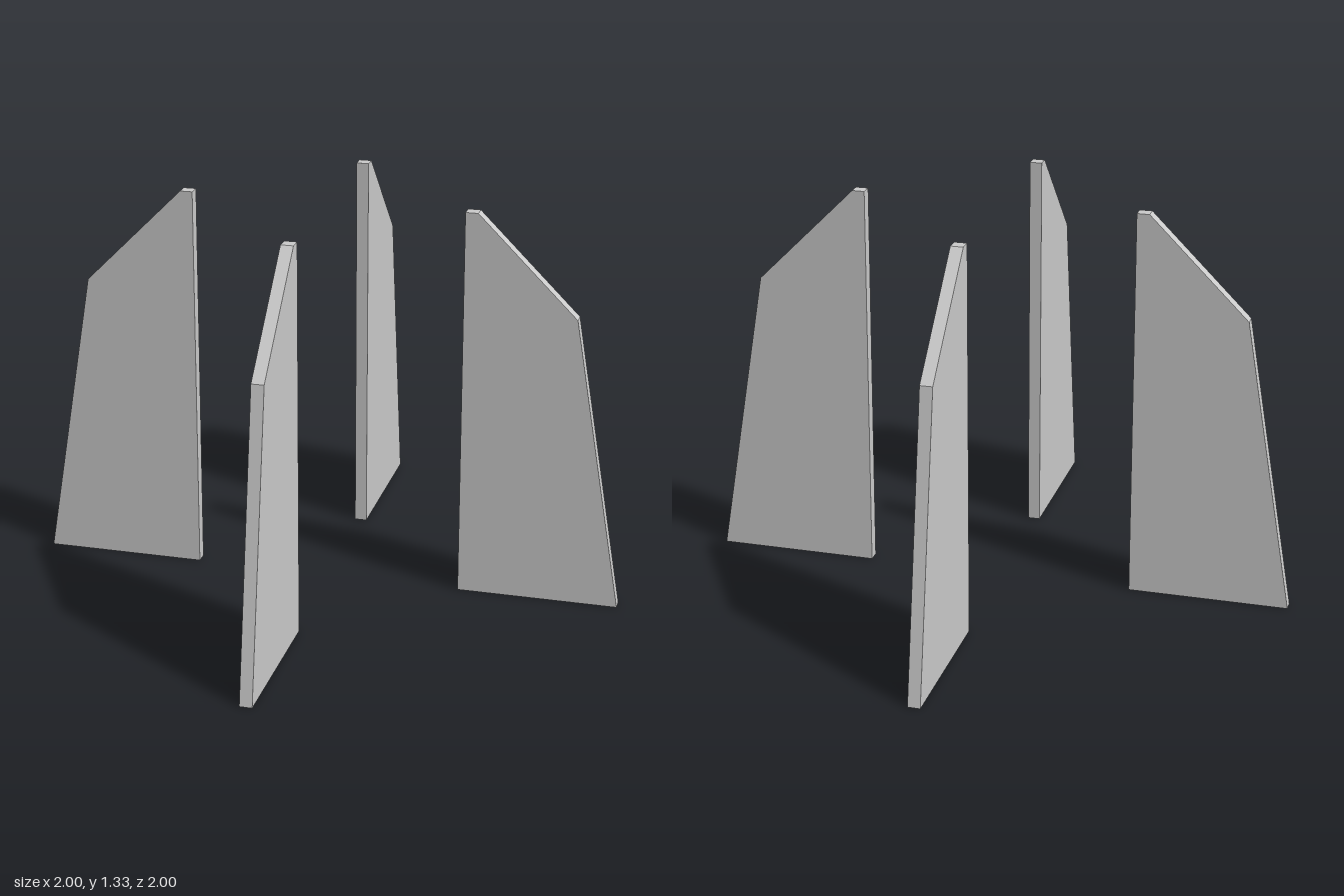
import * as THREE from 'three';

// Four upright fins arranged in a cross around an empty centre
export function createModel() {
  const group = new THREE.Group();
  const material = new THREE.MeshStandardMaterial({ color: 0xcccccc, flatShading: true });
  const thickness = 0.0417;

  // Fin outline: straight inner edge, sloped shoulder, flared foot
  const outline = new THREE.Shape([
    [0.458, 0], [1, 0], [0.833, 1], [0.5, 1.333], [0.458, 1.333],
  ].map(([x, y]) => new THREE.Vector2(x, y)));

  const geometry = new THREE.ExtrudeGeometry(outline, { depth: thickness, bevelEnabled: false });
  geometry.translate(0, 0, -thickness / 2);

  // One fin per quarter turn
  ['leftFin', 'backFin', 'rightFin', 'frontFin'].forEach((name, i) => {
    const fin = new THREE.Mesh(geometry, material);
    fin.name = name;
    fin.rotation.y = i * Math.PI / 2;
    group.add(fin);
  });

  return group;
}
